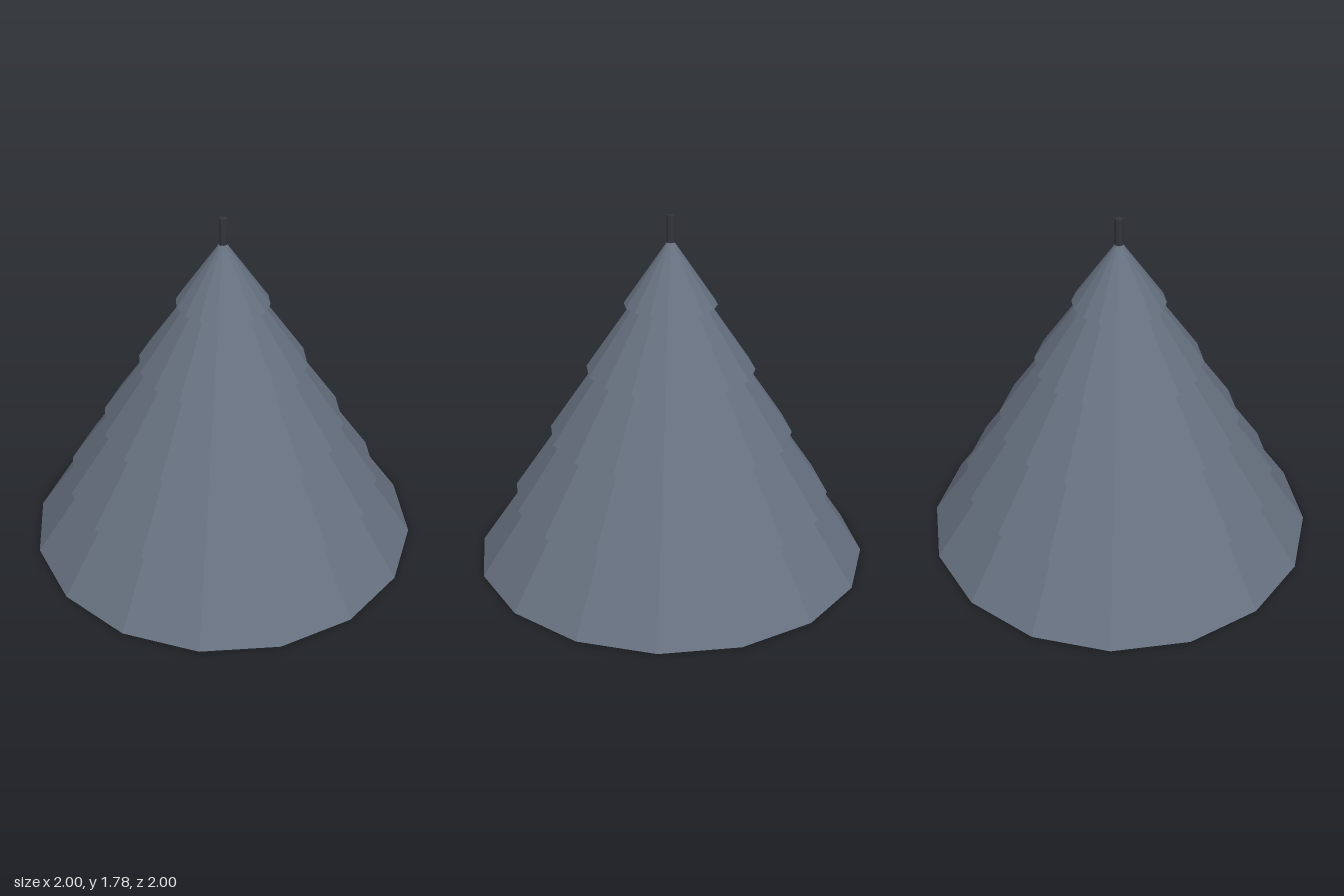
import * as THREE from 'three';

export function createModel() {
  const model = new THREE.Group();
  model.name = 'tieredConeRoof';

  const slate = new THREE.MeshStandardMaterial({ color: 0x66707f, flatShading: true });
  const iron = new THREE.MeshStandardMaterial({ color: 0x33353b, flatShading: true });

  const tiers = 5, sides = 16;
  const tierHeight = 0.335, radiusStep = 0.1925, taper = 0.23;

  // Overlapping tiers: each one ends slightly inside the overhang of the next
  for (let i = 0; i < tiers; i++) {
    const bottom = 1 - i * radiusStep;
    const top = Math.max(bottom - taper, 0);
    const tier = new THREE.Mesh(
      new THREE.CylinderGeometry(top, bottom, tierHeight, sides, 1), slate);
    tier.name = `roofTier${i + 1}`;
    tier.position.y = (i + 0.5) * tierHeight;
    model.add(tier);
  }

  // Thin rod at the peak
  const finial = new THREE.Mesh(new THREE.CylinderGeometry(0.02, 0.02, 0.16, 8), iron);
  finial.name = 'finial';
  finial.position.y = 1.70;
  model.add(finial);

  return model;
}
